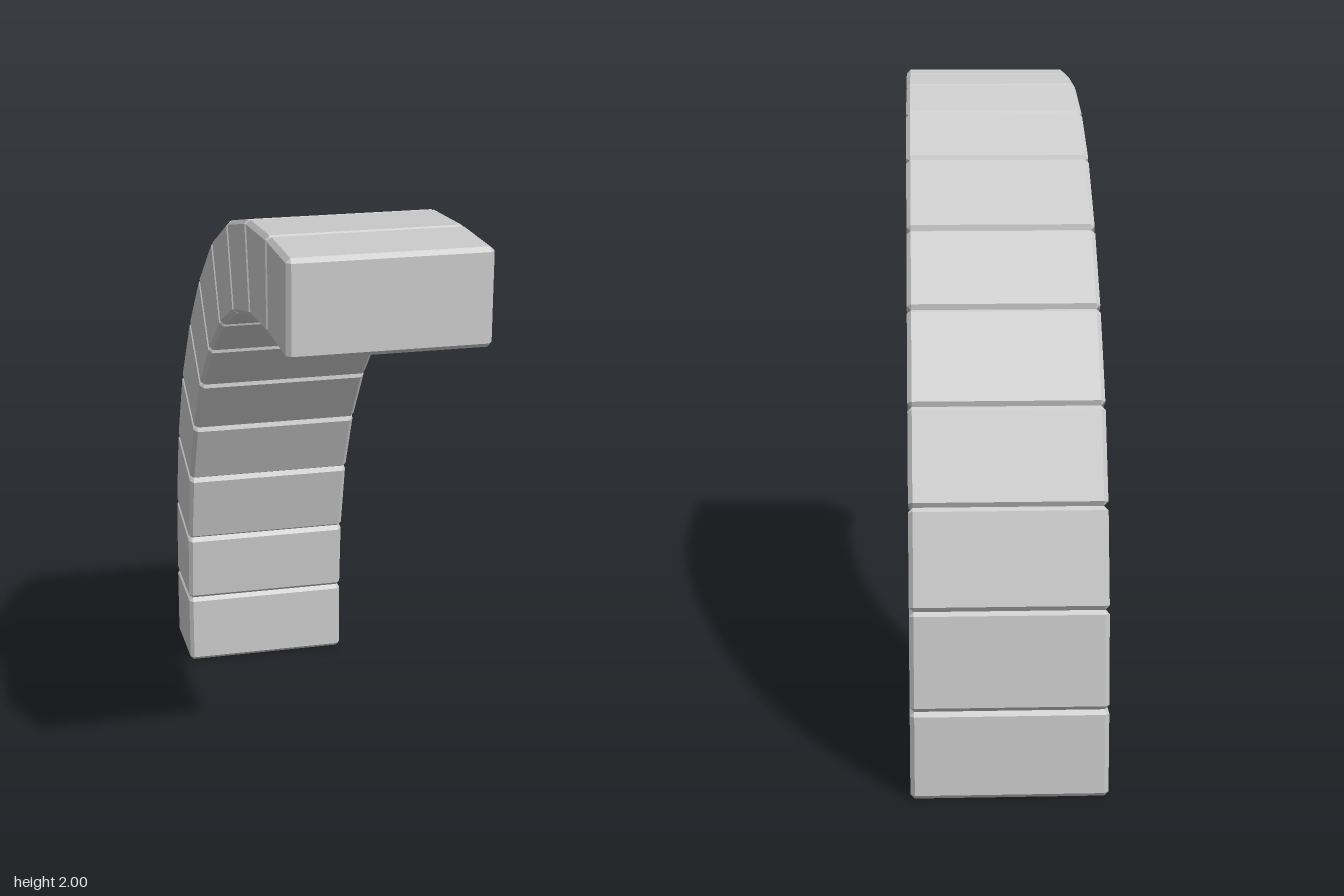
import * as THREE from 'three';
import { ConvexGeometry } from 'three/addons/geometries/ConvexGeometry.js';

const HALF_WIDTH = 0.288;
const CHAMFER = 0.013;

// Joints from the free upper end to the crown: [distance from the front, height] of the
// inner and outer end. The lower half mirrors them across the arch's diagonal.
const upper = [
  { inner: [0, 1.718], outer: [0, 2] },
  { inner: [0.255, 1.718], outer: [0.265, 1.997] },
  { inner: [0.503, 1.7], outer: [0.56, 1.975] },
  { inner: [0.761, 1.637], outer: [0.85, 1.902] },
  { inner: [0.991, 1.53], outer: [1.12, 1.777] },
  { inner: [1.2, 1.379], outer: [1.375, 1.586] },
];
const swap = ([a, b]) => [b, a];
const lower = upper.map((j) => ({ inner: swap(j.inner), outer: swap(j.outer) })).reverse();
const joints = [...upper, ...lower];

// Wedge block with every edge chamfered: three points per corner
function blockGeometry(corners) {
  const pts = corners.map(([u, y]) => new THREE.Vector2(1 - u, y));
  const hull = [];
  pts.forEach((p, i) => {
    const a = pts[(i + 1) % 4].clone().sub(p).setLength(CHAMFER);
    const b = pts[(i + 3) % 4].clone().sub(p).setLength(CHAMFER);
    for (const side of [-1, 1]) {
      const add = (v, x) => hull.push(new THREE.Vector3(side * x, v.y, v.x));
      add(p.clone().add(a), HALF_WIDTH - CHAMFER);
      add(p.clone().add(b), HALF_WIDTH - CHAMFER);
      add(p.clone().add(a).add(b), HALF_WIDTH);
    }
  });
  return new ConvexGeometry(hull);
}

export function createModel() {
  const group = new THREE.Group();
  group.name = 'halfArch';
  const stone = new THREE.MeshStandardMaterial({ color: 0xcccccc, flatShading: true });

  // Eleven blocks, each between two neighbouring joints
  for (let i = 0; i < joints.length - 1; i++) {
    const a = joints[i];
    const b = joints[i + 1];
    const block = new THREE.Mesh(blockGeometry([a.inner, a.outer, b.outer, b.inner]), stone);
    block.name = `archBlock${i + 1}`;
    group.add(block);
  }
  return group;
}
